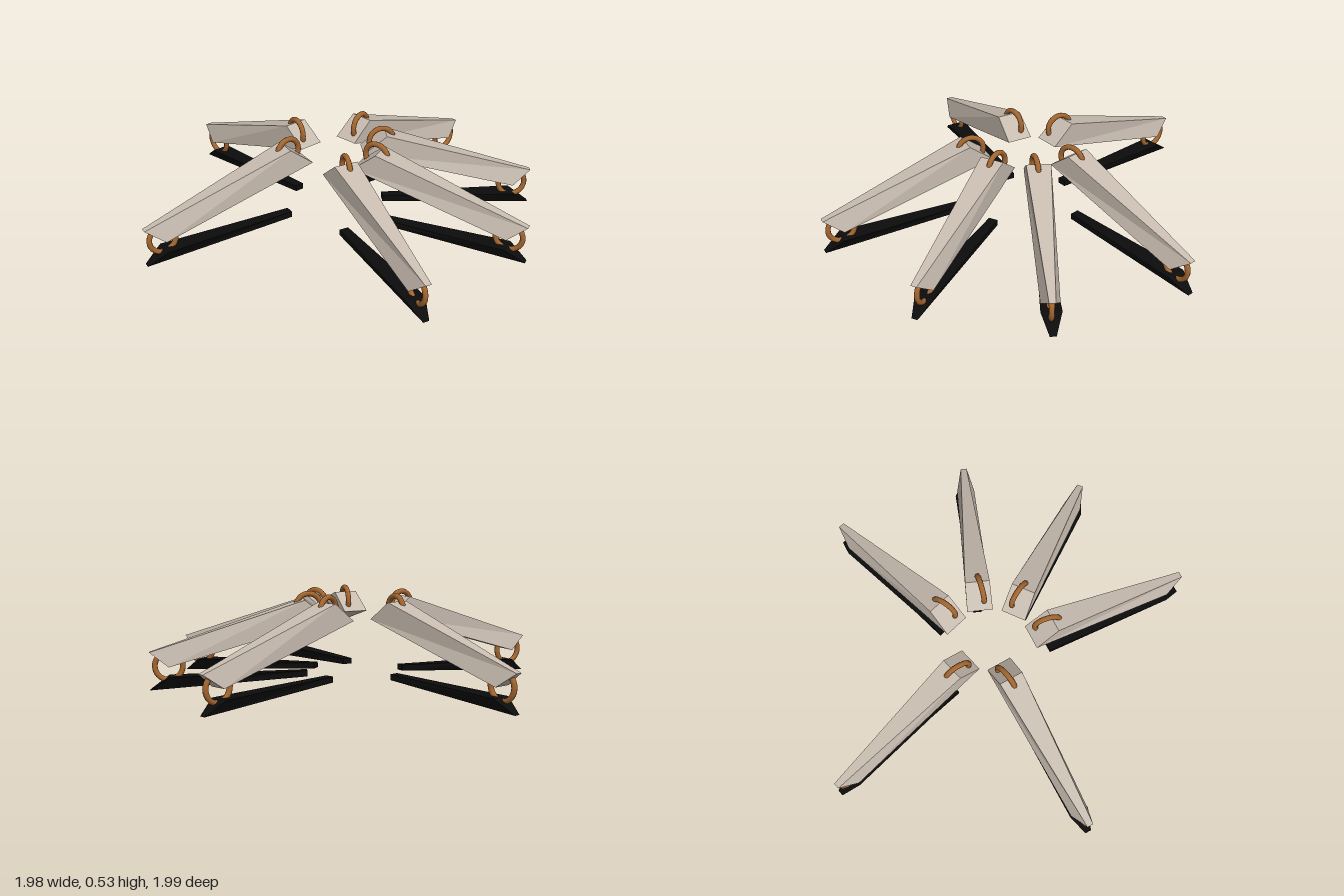
import * as THREE from 'three';

const stone = new THREE.MeshStandardMaterial({ color: 0xc8bcb0 });
stone.name = 'warmGrey';
const copper = new THREE.MeshStandardMaterial({ color: 0xa4662f });
copper.name = 'copper';
const black = new THREE.MeshStandardMaterial({ color: 0x0c0c0c });
black.name = 'black';

// Tapered beam: each profile corner is [distance along beam, height, half width]
function beam(c) {
  const g = new THREE.BoxGeometry(1, 1, 1).toNonIndexed();
  const p = g.attributes.position;
  for (let i = 0; i < p.count; i++) {
    const outer = p.getX(i) > 0, top = p.getY(i) > 0;
    const [r, y, w] = outer ? (top ? c.topOuter : c.bottomOuter) : (top ? c.topInner : c.bottomInner);
    p.setXYZ(i, r, y, Math.sign(p.getZ(i)) * w);
  }
  g.computeVertexNormals();
  return g;
}

const bodyGeometry = beam({
  bottomInner: [0, 0.385, 0.07], topInner: [0.13, 0.485, 0.067],
  topOuter: [0.965, 0.207, 0.017], bottomOuter: [0.86, 0.13, 0.05],
});
const plankGeometry = beam({
  bottomInner: [0.115, 0.065, 0.026], topInner: [0.115, 0.097, 0.026],
  topOuter: [0.86, 0.075, 0.055], bottomOuter: [0.963, 0.002, 0.017],
});
const upperRingGeometry = new THREE.TorusGeometry(0.07, 0.015, 8, 28);
const lowerRingGeometry = new THREE.TorusGeometry(0.075, 0.015, 8, 28);

function part(name, geometry, material, x = 0, y = 0, z = 0, turn = 0) {
  const m = new THREE.Mesh(geometry, material);
  m.name = name;
  m.position.set(x, y, z);
  m.rotation.y = turn;
  return m;
}

// One arm running from its inner end to its tip; side sets which way the rings twist
function arm(name, [x0, z0], [x1, z1], side) {
  const g = new THREE.Group();
  g.name = name;
  g.position.set(x0, 0, z0);
  g.rotation.y = -Math.atan2(z1 - z0, x1 - x0);
  g.add(
    part('beam', bodyGeometry, stone),
    part('footPlank', plankGeometry, black, 0, 0, side * 0.006),
    part('upperRing', upperRingGeometry, copper, 0.105, 0.443, -side * 0.015, -side * 0.18),
    part('lowerRing', lowerRingGeometry, copper, 0.862, 0.13, 0),
  );
  return g;
}

export function createModel() {
  const model = new THREE.Group();
  model.name = 'sixArmedFrame';
  model.add(
    arm('leftFrontArm', [0.055, 0.09], [0.985, 0.345], 1),
    arm('leftBackArm', [0.055, -0.093], [0.985, -0.345], -1),
    arm('frontArm', [-0.053, 0.203], [0.52, 0.985], 1),
    arm('backArm', [-0.053, -0.203], [0.52, -0.985], -1),
    arm('rightFrontArm', [-0.23, 0.055], [-0.985, 0.665], -1),
    arm('rightBackArm', [-0.23, -0.097], [-0.985, -0.702], 1),
  );
  return model;
}
